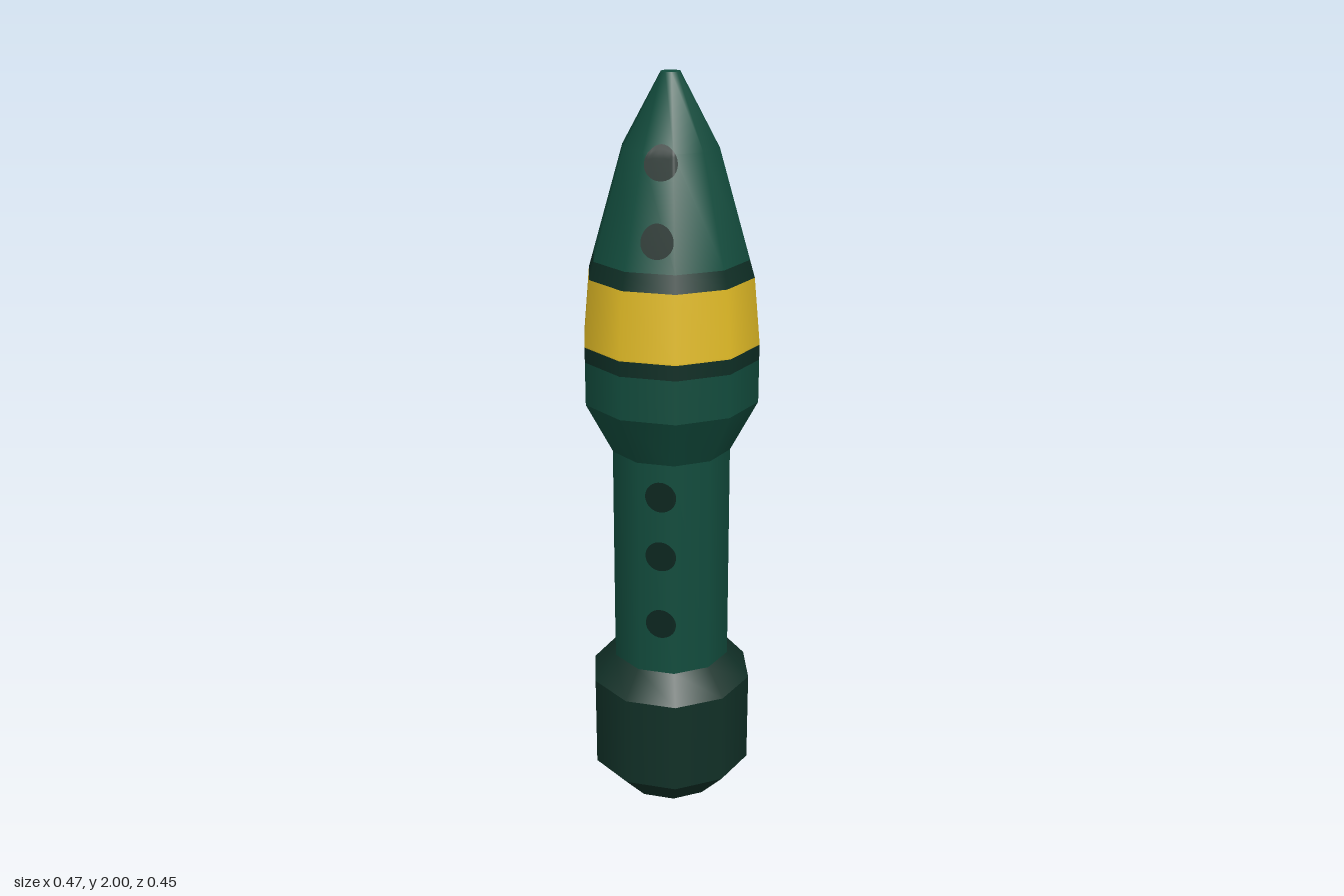
import * as THREE from 'three';

const SIDES = 10;

// Half-silhouette of the whole body as [radius, height], bottom to top
const PROFILE = [
  [0.14, 0], [0.225, 0.09], [0.225, 0.35], [0.163, 0.42], [0.162, 1.03],
  [0.235, 1.17], [0.235, 1.33], [0.219, 1.5], [0.125, 1.82], [0.025, 2],
];

function radiusAt(y) {
  for (let i = 1; i < PROFILE.length; i++) {
    const [r0, y0] = PROFILE[i - 1], [r1, y1] = PROFILE[i];
    if (y <= y1) return r0 + (r1 - r0) * (y - y0) / (y1 - y0);
  }
  return PROFILE[PROFILE.length - 1][0];
}

// Radius of the ten-sided surface at an angle (corners lie on the x axis)
function facetRadius(y, phi) {
  const step = 2 * Math.PI / SIDES;
  const local = (((phi - Math.PI / 2) % step) + step) % step - step / 2;
  return radiusAt(y) * Math.cos(step / 2) / Math.cos(local);
}

export function createModel() {
  const group = new THREE.Group();
  const mat = (name, color) => {
    const m = new THREE.MeshStandardMaterial({ color });
    m.name = name;
    return m;
  };
  const green = mat('deep green', 0x124c3d);
  const pommelGreen = mat('dark pommel green', 0x113027);
  const trimGreen = mat('dark trim green', 0x0e2e25);
  const spotGreen = mat('spot green', 0x0c261f);
  const yellow = mat('yellow', 0xe0ba26);

  const add = (name, geometry, material) => {
    const mesh = new THREE.Mesh(geometry, material);
    mesh.name = name;
    group.add(mesh);
    return mesh;
  };

  // One turned section following the profile through the given heights
  const section = (name, heights, material) => {
    const pts = heights.map((y) => new THREE.Vector2(radiusAt(y), y));
    add(name, new THREE.LatheGeometry(pts, SIDES, Math.PI / 2), material);
  };

  // Pommel
  section('pommelBottomChamfer', [0, 0.09], pommelGreen);
  section('pommelBody', [0.09, 0.35], pommelGreen);
  section('pommelTopChamfer', [0.35, 0.42], pommelGreen);
  // Shaft and flared head
  section('shaft', [0.42, 1.03], green);
  section('flare', [1.03, 1.17], green);
  section('headCollar', [1.17, 1.285], green);
  section('lowerTrim', [1.285, 1.325], trimGreen);
  section('yellowBand', [1.325, 1.33, 1.5], yellow);
  section('upperTrim', [1.5, 1.545], trimGreen);
  section('nose', [1.545, 1.82, 2], green);

  // End caps
  const cap = (name, y, up, material) => {
    const geo = new THREE.CircleGeometry(radiusAt(y), SIDES);
    geo.rotateX(up ? -Math.PI / 2 : Math.PI / 2).translate(0, y, 0);
    add(name, geo, material);
  };
  cap('bottomCap', 0, false, pommelGreen);
  cap('tipCap', 2, true, green);

  // Thin painted patch wrapped on the surface; stretch > 0 makes a long slot
  const spot = (name, degrees, y, stretch = 0, r = 0.042) => {
    const geo = new THREE.PlaneGeometry(2, 2, 18, 8);
    const pos = geo.attributes.position;
    const centre = THREE.MathUtils.degToRad(degrees);
    for (let i = 0; i < pos.count; i++) {
      const a = pos.getX(i) * Math.PI / 2;
      const py = y + pos.getY(i) * (stretch + r * Math.cos(a));
      const phi = centre + r * Math.sin(a) / radiusAt(y);
      const R = facetRadius(py, phi) + 0.003;
      pos.setXYZ(i, R * Math.sin(phi), py, R * Math.cos(phi));
    }
    geo.computeVertexNormals();
    add(name, geo, spotGreen);
  };

  // Spots on the front left quarter
  for (const y of [0.57, 0.77, 0.94]) spot('shaftSpot', 41, y);
  for (const y of [1.62, 1.8]) spot('noseSpot', 40, y);
  // Spots on the back left quarter
  for (const y of [0.76, 0.905]) spot('shaftSpot', 152, y);
  spot('noseSpot', 143, 1.62);
  // Long slot and spot on the back
  spot('shaftSlot', 200, 0.765, 0.15);
  spot('noseSpot', 203, 1.62);

  return group;
}
